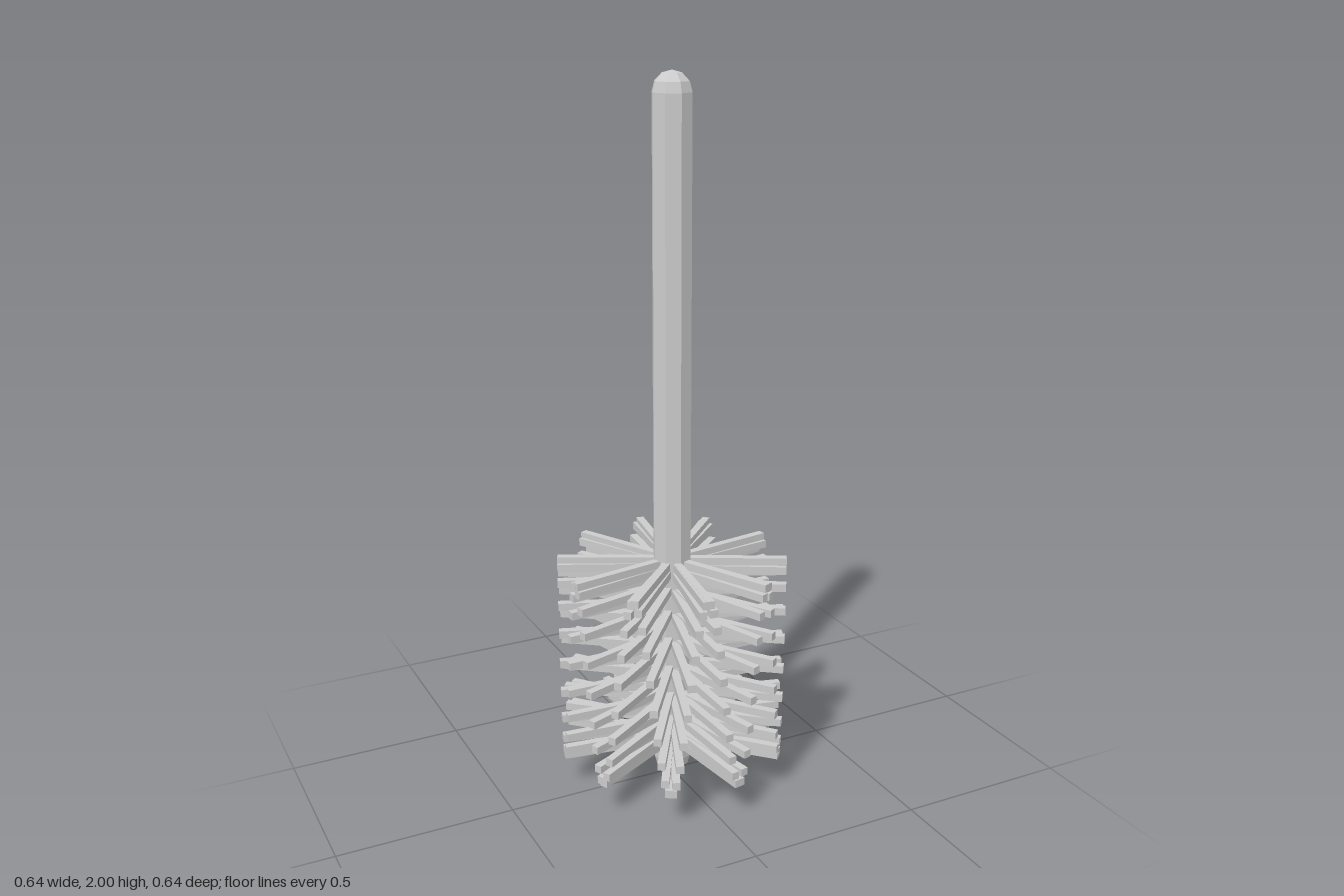
import * as THREE from 'three';

const HANDLE_RADIUS = 0.055;
const BRISTLE_COUNT = 199;
const BRISTLE_LENGTH = 0.322;
const BRISTLE_WIDTH = 0.022;

export function createModel() {
  const model = new THREE.Group();
  model.name = 'bottleBrush';
  const material = new THREE.MeshStandardMaterial({ color: 0xcccccc, flatShading: true });

  // Handle: an eight-sided rod with rounded ends
  const profile = [];
  const capSteps = 3;
  for (let i = 0; i <= capSteps; i++) {
    const a = (i / capSteps) * Math.PI / 2;
    profile.push(new THREE.Vector2(HANDLE_RADIUS * Math.sin(a), HANDLE_RADIUS * (1 - Math.cos(a))));
  }
  for (let i = capSteps; i >= 0; i--) {
    profile.push(new THREE.Vector2(profile[i].x, 2 - profile[i].y));
  }
  const handle = new THREE.Mesh(new THREE.LatheGeometry(profile, 8), material);
  handle.name = 'handle';
  model.add(handle);

  // Bristles: one turn around the rod, rising and falling in ten waves
  const bristles = new THREE.Group();
  bristles.name = 'bristles';
  const bristleGeometry = new THREE.BoxGeometry(BRISTLE_WIDTH, BRISTLE_WIDTH, BRISTLE_LENGTH);
  bristleGeometry.translate(0, 0, -BRISTLE_LENGTH / 2);
  for (let i = 0; i < BRISTLE_COUNT; i++) {
    const angle = (i / BRISTLE_COUNT) * Math.PI * 2;
    const bristle = new THREE.Mesh(bristleGeometry, material);
    bristle.name = 'bristle';
    bristle.position.y = 0.386 + 0.28 * Math.sin(angle * 10);
    bristle.rotation.y = -angle;
    bristles.add(bristle);
  }
  model.add(bristles);

  return model;
}
